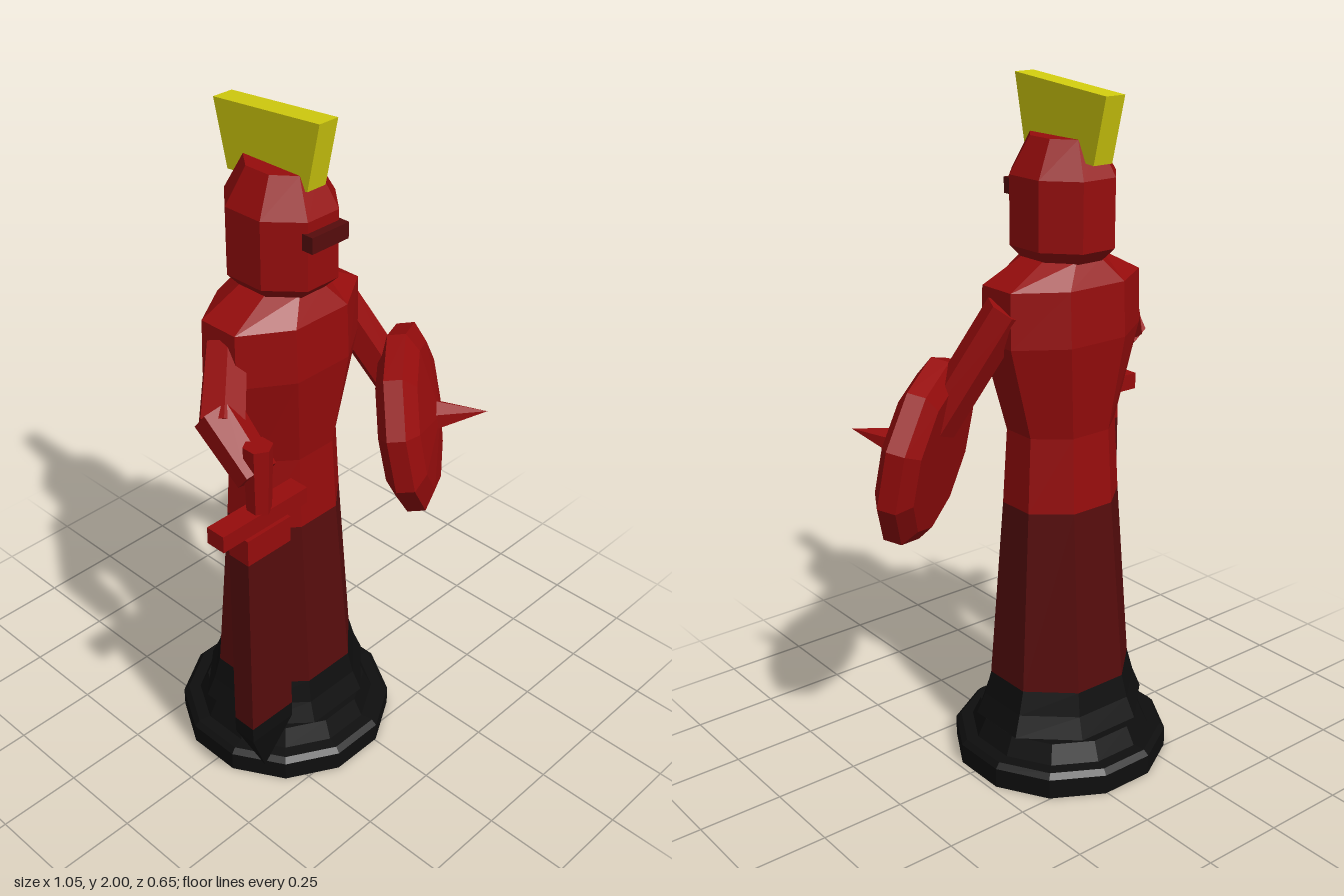
import * as THREE from 'three';

const mat = (name, color) => {
  const m = new THREE.MeshStandardMaterial({ color, flatShading: true });
  m.name = name;
  return m;
};

// Closed skin through stacked polygon rings; each level is [y, half width, half depth].
function loft(levels, sides) {
  const pos = [], idx = [], k = 1 / Math.cos(Math.PI / sides);
  for (const [y, hx, hz] of levels) {
    for (let i = 0; i < sides; i++) {
      const a = ((i + 0.5) / sides) * Math.PI * 2;
      pos.push(Math.sin(a) * hx * k, y, Math.cos(a) * hz * k);
    }
  }
  for (let l = 0; l < levels.length - 1; l++) {
    for (let i = 0; i < sides; i++) {
      const a = l * sides + i, b = l * sides + (i + 1) % sides;
      idx.push(a, b, b + sides, a, b + sides, a + sides);
    }
  }
  const top = (levels.length - 1) * sides;
  for (let i = 1; i < sides - 1; i++) {
    idx.push(0, i + 1, i, top, top + i, top + i + 1);
  }
  const g = new THREE.BufferGeometry();
  g.setAttribute('position', new THREE.Float32BufferAttribute(pos, 3));
  g.setIndex(idx);
  const flat = g.toNonIndexed();
  flat.computeVertexNormals();
  return flat;
}

// Tapered six-sided limb between two points.
function limb(a, b, ra, rb) {
  const p = new THREE.Vector3(...a), q = new THREE.Vector3(...b);
  const d = q.clone().sub(p), len = d.length();
  const g = new THREE.CylinderGeometry(rb, ra, len, 6);
  g.applyQuaternion(new THREE.Quaternion().setFromUnitVectors(new THREE.Vector3(0, 1, 0), d.normalize()));
  const c = p.add(q).multiplyScalar(0.5);
  return g.translate(c.x, c.y, c.z);
}

export function createModel() {
  const model = new THREE.Group();
  model.name = 'knightPiece';
  const red = mat('red', 0x960c0c);
  const maroon = mat('maroon', 0x560c0c);
  const black = mat('black', 0x0e0e0e);
  const yellow = mat('yellow', 0xd2cc0e);

  const add = (name, geo, material, parent = model) => {
    const m = new THREE.Mesh(geo, material);
    m.name = name;
    parent.add(m);
    return m;
  };

  // Body stands slightly off the centre of the whole piece
  const body = new THREE.Group();
  body.name = 'body';
  body.position.set(-0.078, 0, -0.02);
  model.add(body);

  add('base', loft([[0, 0.31, 0.31], [0.06, 0.31, 0.31], [0.075, 0.295, 0.295],
    [0.077, 0.26, 0.26], [0.132, 0.235, 0.235]], 12), black, body);
  add('robeHem', loft([[0.143, 0.245, 0.225], [0.205, 0.222, 0.2], [0.275, 0.203, 0.185]], 8), black, body);
  add('robe', loft([[0.275, 0.203, 0.185], [0.82, 0.167, 0.14]], 8), maroon, body);
  add('torso', loft([[0.82, 0.167, 0.14], [1.04, 0.155, 0.128], [1.31, 0.23, 0.155],
    [1.465, 0.228, 0.148], [1.53, 0.105, 0.11]], 8), red, body);
  add('helmet', loft([[1.52, 0.1, 0.11], [1.56, 0.134, 0.15], [1.75, 0.134, 0.15],
    [1.85, 0.08, 0.1]], 8), red, body);
  add('visorSlit', new THREE.BoxGeometry(0.13, 0.045, 0.06).translate(0, 1.698, 0.145), maroon, body);

  // Crest: side outline extruded across the helmet
  const crest = new THREE.Shape([[0.145, 2], [-0.225, 1.97], [-0.18, 1.79], [0.105, 1.815]]
    .map(([z, y]) => new THREE.Vector2(-z, y)));
  const crestGeo = new THREE.ExtrudeGeometry(crest, { depth: 0.064, bevelEnabled: false });
  crestGeo.translate(0, 0, -0.032).rotateY(Math.PI / 2);
  add('crest', crestGeo, yellow).position.x = -0.078;

  // Arms
  add('rightUpperArm', limb([-0.27, 1.4, -0.03], [-0.375, 1.25, 0.06], 0.06, 0.066), red);
  add('rightForearm', limb([-0.375, 1.27, 0.04], [-0.378, 1.15, 0.19], 0.066, 0.058), red);
  add('leftArm', limb([0.13, 1.41, -0.04], [0.28, 1.08, 0.09], 0.06, 0.06), red);

  // Sword
  const sword = new THREE.Group();
  sword.name = 'sword';
  sword.position.set(-0.378, 0, 0.195);
  model.add(sword);
  add('grip', new THREE.CylinderGeometry(0.04, 0.034, 0.2, 6).translate(0, 1.145, 0), red, sword);
  add('crossguard', new THREE.BoxGeometry(0.3, 0.05, 0.06).translate(0, 1.025, -0.005), red, sword);
  const w = 0.077, t = 0.036;
  add('bladeTop', loft([[0.92, w, t], [1, w, t]], 4), red, sword);
  add('blade', loft([[0.33, w, t], [0.92, w, t]], 4), maroon, sword);
  add('bladeTip', loft([[0.11, 0.001, 0.001], [0.28, w, t], [0.33, w, t]], 4), black, sword);

  // Shield: domed disc with a spike, turned outward and leaning back
  const shield = new THREE.Group();
  shield.name = 'shield';
  shield.position.set(0.285, 0.995, 0.14);
  shield.rotation.set(-0.19, 0.61, 0, 'YXZ');
  model.add(shield);
  const profile = [[0, -0.06], [0.225, -0.06], [0.273, -0.028], [0.273, 0.025], [0.215, 0.056], [0, 0.085]];
  const disc = new THREE.LatheGeometry(profile.map(([r, h]) => new THREE.Vector2(r, h)), 10);
  add('shieldDisc', disc.rotateX(Math.PI / 2), red, shield);
  add('shieldSpike', new THREE.ConeGeometry(0.048, 0.15, 6).rotateX(Math.PI / 2).translate(0, 0, 0.145), red, shield);

  return model;
}
